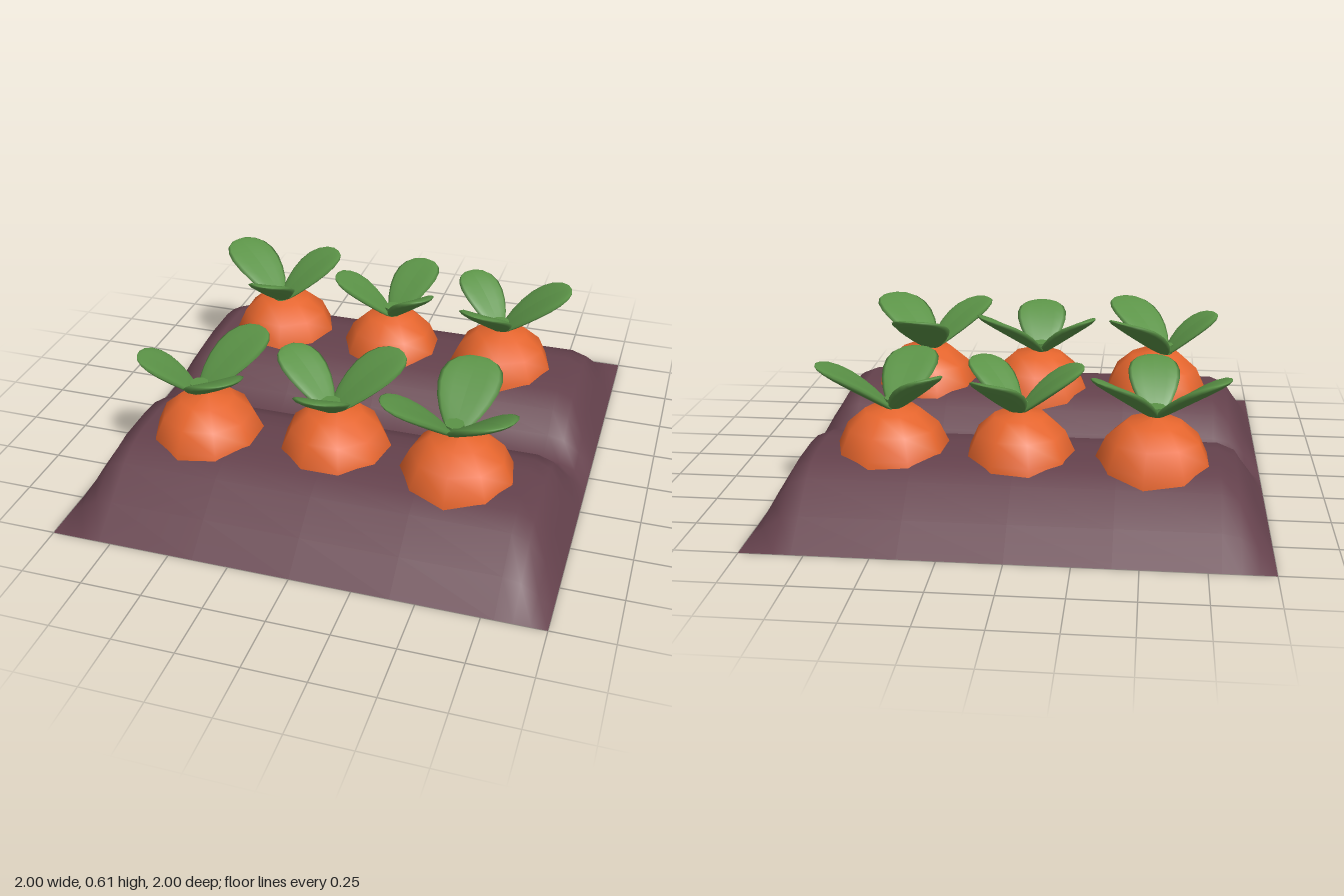
import * as THREE from 'three';

const soilMat = new THREE.MeshStandardMaterial({ color: 0x65424d, side: THREE.DoubleSide });
soilMat.name = 'soil brown';
const carrotMat = new THREE.MeshStandardMaterial({ color: 0xe5652d });
carrotMat.name = 'carrot orange';
const leafMat = new THREE.MeshStandardMaterial({ color: 0x5b9347 });
leafMat.name = 'leaf green';

// Ridge height across z, and how it falls away towards the two ends in x
const RIDGE = [[0, 0.06], [0.1, 0.12], [0.18, 0.2], [0.28, 0.24], [0.38, 0.25], [0.56, 0.25], [0.64, 0.235], [0.73, 0.2], [0.87, 0.1], [1, 0]];
const ENDS = [[0, 1], [0.4, 1], [0.8, 1], [0.87, 0.88], [0.94, 0.43], [1, 0]];
const mirror = (list) => [...list.slice(1).reverse().map(([p, v]) => [-p, v]), ...list];

// Two parallel ridges as one open sheet
function makeSoil() {
  const xs = mirror(ENDS), zs = mirror(RIDGE), pos = [], index = [];
  xs.forEach(([x, e]) => zs.forEach(([z, h]) => pos.push(x, h * e, z)));
  for (let i = 0; i < xs.length - 1; i++) {
    for (let j = 0; j < zs.length - 1; j++) {
      const a = i * zs.length + j, d = a + zs.length;
      index.push(a, a + 1, d + 1, a, d + 1, d);
    }
  }
  const geo = new THREE.BufferGeometry();
  geo.setAttribute('position', new THREE.Float32BufferAttribute(pos, 3));
  geo.setIndex(index);
  geo.computeVertexNormals();
  const mesh = new THREE.Mesh(geo, soilMat);
  mesh.name = 'soil';
  return mesh;
}

// Low-sided dome with a flat underside
function makeRoot(radius, turn) {
  const profile = [[0.001, 0.19], [1, 0.19], [1, 0.19], [0.97, 0.25], [0.8, 0.335], [0.48, 0.4], [0.001, 0.42]]
    .map(([r, y]) => new THREE.Vector2(r * radius, y));
  const group = new THREE.Group();
  group.name = 'root';
  const dome = new THREE.Mesh(new THREE.LatheGeometry(profile.slice(2), 9), carrotMat);
  dome.name = 'rootDome';
  const base = new THREE.Mesh(new THREE.LatheGeometry(profile.slice(0, 2), 9), carrotMat);
  base.name = 'rootBase';
  group.add(dome, base);
  group.rotation.y = turn;
  return group;
}

// Paddle leaf: a sphere stretched along x, flattened, bent upwards and cupped
function makeLeaf(length, halfWidth) {
  const geo = new THREE.SphereGeometry(1, 12, 10);
  geo.rotateZ(-Math.PI / 2);
  const p = geo.attributes.position;
  for (let i = 0; i < p.count; i++) {
    const u = (p.getX(i) + 1) / 2, t = p.getY(i), w = p.getZ(i);
    const width = w * halfWidth * (0.62 + 0.55 * u - 0.12 * u * u);
    const rise = (0.1 + 0.33 * length) * (1.25 * u - 0.25 * u * u);
    p.setXYZ(i, u * length, 0.4 + rise + t * 0.025 + 0.02 * w * w, width);
  }
  geo.computeVertexNormals();
  const mesh = new THREE.Mesh(geo, leafMat);
  mesh.name = 'leaf';
  return mesh;
}

// root: [x, z, radius, turn]; crown: where the leaves meet; leaves: [x, z, half width]
const PLANTS = [
  { root: [-0.54, -0.5, 0.235, 0.2], crown: [-0.545, -0.46], leaves: [[-0.7, -0.55, 0.135], [-0.425, -0.56, 0.135], [-0.535, -0.32, 0.117]] },
  { root: [-0.01, -0.47, 0.225, 0.6], crown: [0, -0.455], leaves: [[0.058, -0.585, 0.122], [-0.135, -0.43, 0.127], [0.11, -0.353, 0.107]] },
  { root: [0.51, -0.45, 0.235, 0.1], crown: [0.5, -0.455], leaves: [[0.39, -0.56, 0.112], [0.66, -0.51, 0.14], [0.465, -0.315, 0.13]] },
  { root: [-0.54, 0.45, 0.235, 0.5], crown: [-0.58, 0.43], leaves: [[-0.468, 0.294, 0.145], [-0.7, 0.47, 0.118], [-0.45, 0.577, 0.134]] },
  { root: [0, 0.4, 0.235, 0.35], crown: [-0.015, 0.41], leaves: [[-0.155, 0.327, 0.115], [0.12, 0.302, 0.145], [-0.005, 0.54, 0.128]] },
  { root: [0.525, 0.45, 0.24, 0.0], crown: [0.5, 0.43], leaves: [[0.515, 0.283, 0.147], [0.356, 0.54, 0.13], [0.63, 0.548, 0.144]] },
];

function makePlant({ root, crown, leaves }) {
  const group = new THREE.Group();
  group.name = 'carrot';
  const body = makeRoot(root[2], root[3]);
  body.position.set(root[0], 0, root[1]);
  group.add(body);

  // short joint under the leaves
  const joint = new THREE.Mesh(new THREE.CylinderGeometry(0.04, 0.03, 0.07, 8), leafMat);
  joint.name = 'leafJoint';
  joint.position.set(crown[0], 0.415, crown[1]);
  group.add(joint);

  for (const [x, z, half] of leaves) {
    const dx = x - crown[0], dz = z - crown[1];
    const leaf = makeLeaf(Math.hypot(dx, dz) + half, half);
    leaf.position.set(crown[0], 0, crown[1]);
    leaf.rotation.y = Math.atan2(-dz, dx);
    group.add(leaf);
  }
  return group;
}

export function createModel() {
  const model = new THREE.Group();
  model.name = 'carrotPatch';
  model.add(makeSoil());
  PLANTS.forEach((plant) => model.add(makePlant(plant)));
  return model;
}
